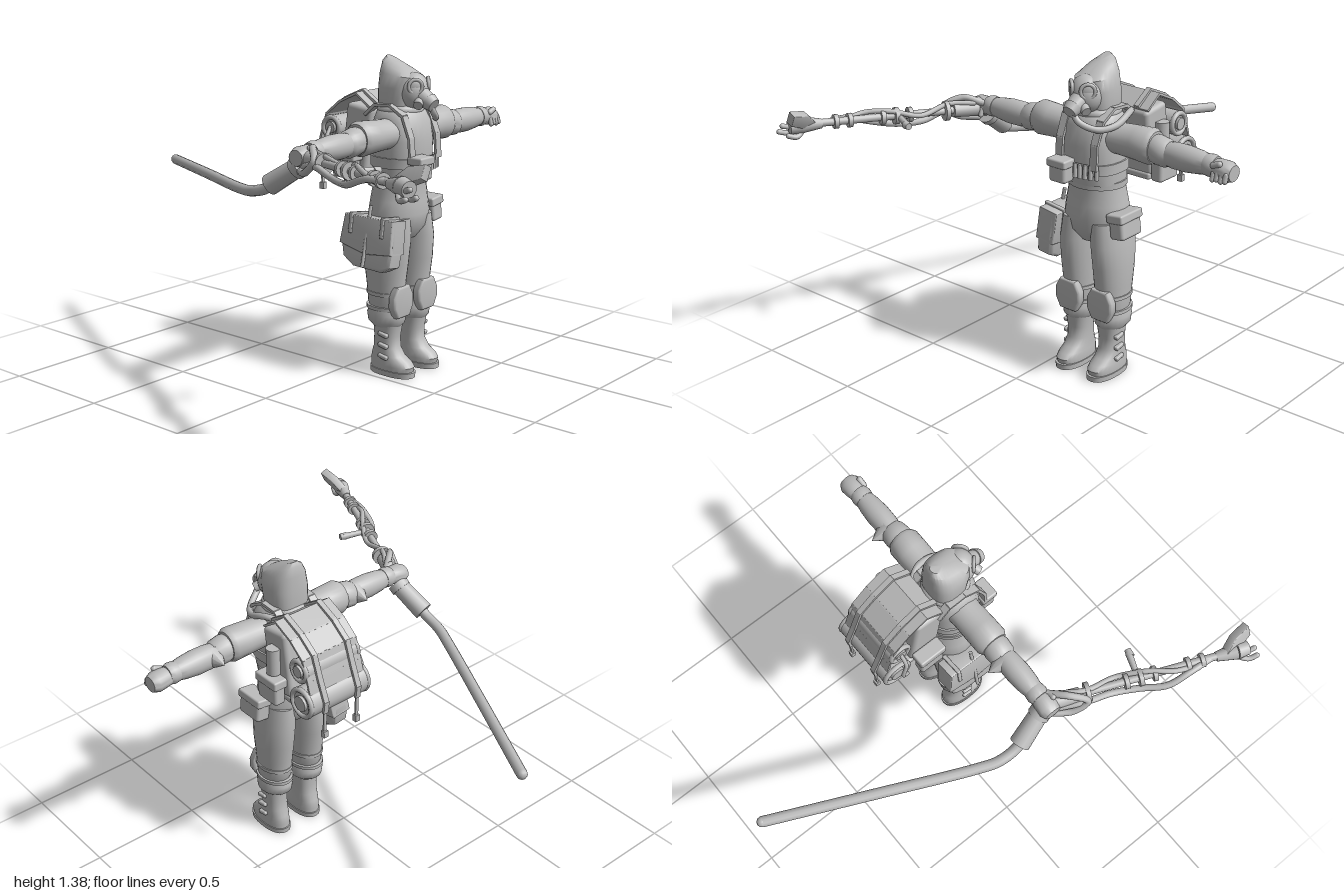
import * as THREE from 'three';
import { toCreasedNormals } from 'three/addons/utils/BufferGeometryUtils.js';
import { RoundedBoxGeometry } from 'three/addons/geometries/RoundedBoxGeometry.js';

const clay = new THREE.MeshStandardMaterial({ color: 0xbcbcbc });
clay.name = 'clay grey';
const V = (p) => new THREE.Vector3(...p);

function add(parent, name, geo, pos = [0, 0, 0], rot = [0, 0, 0], scale = [1, 1, 1]) {
  const m = new THREE.Mesh(geo, clay);
  m.name = name;
  m.position.set(...pos);
  m.rotation.set(...rot);
  m.scale.set(...scale);
  parent.add(m);
  return m;
}

// Closed skin over rings [y, x, z, rx, rz, tilt]; squareness below 1 boxes the outline
function loft(rings, square = 1, n = 24) {
  const pos = [], idx = [];
  const pw = (c) => Math.sign(c) * Math.abs(c) ** square;
  for (const [y, x, z, rx, rz, tilt = 0] of rings)
    for (let j = 0; j < n; j++) {
      const a = (j / n) * Math.PI * 2, c = pw(Math.cos(a)), s = pw(Math.sin(a));
      pos.push(x + rx * c, y + tilt * c, z + rz * s);
    }
  const last = rings.length - 1;
  for (let i = 0; i < last; i++)
    for (let j = 0; j < n; j++) {
      const a = i * n + j, b = i * n + (j + 1) % n;
      idx.push(a, a + n, b, b, a + n, b + n);
    }
  for (const i of [0, last]) {
    const c = pos.length / 3, [y, x, z] = rings[i];
    pos.push(x, y, z);
    for (let j = 0; j < n; j++) {
      const a = i * n + j, b = i * n + (j + 1) % n;
      if (i) idx.push(c, b, a); else idx.push(c, a, b);
    }
  }
  const g = new THREE.BufferGeometry();
  g.setAttribute('position', new THREE.Float32BufferAttribute(pos, 3));
  g.setIndex(idx);
  return toCreasedNormals(g, 0.75);
}

// Straight round bar between two points
function bar(parent, name, a, b, r0, r1 = r0, sides = 16) {
  const A = V(a), d = V(b).sub(A);
  const m = add(parent, name, new THREE.CylinderGeometry(r1, r0, d.length(), sides));
  m.position.copy(A).addScaledVector(d, 0.5);
  m.quaternion.setFromUnitVectors(new THREE.Vector3(0, 1, 0), d.normalize());
  return m;
}

// Bent hose with rounded ends
function hose(parent, name, pts, r, seg = 48) {
  add(parent, name, new THREE.TubeGeometry(new THREE.CatmullRomCurve3(pts.map(V)), seg, r, 10));
  for (const p of [pts[0], pts[pts.length - 1]])
    add(parent, name + 'End', new THREE.SphereGeometry(r, 10, 8), p);
}

// Flat webbing following x,y points at a given z
function strip(parent, name, pts, z, width, thick) {
  for (let i = 0; i < pts.length - 1; i++) {
    const [x0, y0] = pts[i], [x1, y1] = pts[i + 1];
    add(parent, name, new THREE.BoxGeometry(Math.hypot(x1 - x0, y1 - y0) + thick * 0.6, thick, width),
      [(x0 + x1) / 2, (y0 + y1) / 2, z], [0, 0, Math.atan2(y1 - y0, x1 - x0)]);
  }
}

function pouch(parent, name, size, pos, rot) {
  const g = new THREE.Group();
  g.name = name;
  add(g, 'pouchBody', new RoundedBoxGeometry(...size, 3, 0.014));
  add(g, 'pouchFlap', new RoundedBoxGeometry(size[0] + 0.012, size[1] * 0.35, size[2] + 0.012, 2, 0.008), [0, size[1] * 0.33, 0]);
  g.position.set(...pos);
  if (rot) g.rotation.set(...rot);
  parent.add(g);
}

function extrude(pts, depth, bevel) {
  const s = new THREE.Shape(pts.map((p) => new THREE.Vector2(...p)));
  const g = new THREE.ExtrudeGeometry(s, { depth, bevelEnabled: bevel > 0, bevelSize: bevel, bevelThickness: bevel, bevelSegments: 3 });
  return toCreasedNormals(g.translate(0, 0, -depth / 2), 0.7);
}

function buildLeg(body, s) {
  const z = s * 0.086, leg = new THREE.Group();
  leg.name = s > 0 ? 'gunSideLeg' : 'freeSideLeg';
  body.add(leg);
  add(leg, 'trouserLeg', loft([[0.28, 0.175, z, 0.07, 0.06], [0.32, 0.17, z, 0.086, 0.068], [0.36, 0.17, z, 0.09, 0.068],
    [0.41, 0.168, z, 0.094, 0.072], [0.5, 0.167, z, 0.108, 0.075], [0.6, 0.167, z * 0.95, 0.118, 0.075], [0.7, 0.167, z * 0.85, 0.11, 0.068]]));
  add(leg, 'trouserCuff', loft([[0.215, 0.175, z, 0.065, 0.055], [0.235, 0.172, z, 0.086, 0.071], [0.27, 0.17, z, 0.09, 0.074], [0.3, 0.172, z, 0.08, 0.066]]));
  const pad = [[-0.035, -0.06], [0.035, -0.06], [0.056, -0.02], [0.056, 0.02], [0.035, 0.058], [-0.035, 0.058], [-0.056, 0.02], [-0.056, -0.02]];
  add(leg, 'kneePad', extrude(pad, 0.02, 0.01), [0.25, 0.335, z], [0, Math.PI / 2, 0]);
  for (const y of [0.3, 0.365]) add(leg, 'kneeStrap', loft([[y - 0.008, 0.17, z, 0.094, 0.074], [y + 0.008, 0.17, z, 0.094, 0.074]]));
  add(leg, 'boot', loft([[0.02, 0.205, z, 0.105, 0.054], [0.045, 0.208, z, 0.108, 0.056], [0.065, 0.2, z, 0.1, 0.053],
    [0.085, 0.185, z, 0.08, 0.051], [0.12, 0.177, z, 0.06, 0.05], [0.17, 0.177, z, 0.058, 0.05], [0.225, 0.18, z, 0.064, 0.056]], 0.85));
  add(leg, 'bootSole', loft([[0, 0.208, z, 0.112, 0.057], [0.024, 0.208, z, 0.114, 0.058]], 0.85));
  for (const y of [0.085, 0.135, 0.185])
    add(leg, 'bootBuckle', new RoundedBoxGeometry(0.05, 0.018, 0.022, 2, 0.006), [0.195, y, z + s * 0.053], [0, 0, -0.2]);
}

function buildArm(body, s) {
  const arm = new THREE.Group();
  arm.name = s > 0 ? 'gunArm' : 'freeArm';
  arm.position.set(0.18, 1.05, 0);
  body.add(arm);
  const sleeve = (name, rings) => add(arm, name, loft(rings.map(([t, rx, ry, up = 0]) => [t, 0, -s * up, rx, ry])), [0, 0, 0], [s * Math.PI / 2, 0, 0]);
  sleeve('upperSleeve', [[0.06, 0.075, 0.07, 0.01], [0.13, 0.07, 0.064, 0.01], [0.22, 0.072, 0.07, 0.012], [0.285, 0.072, 0.075, 0.012], [0.305, 0.06, 0.066, 0.01]]);
  sleeve('elbow', [[0.29, 0.052, 0.055, 0.008], [0.32, 0.06, 0.06, 0.006], [0.36, 0.056, 0.058], [0.38, 0.045, 0.045]]);
  sleeve('forearm', [[0.35, 0.044, 0.046], [0.4, 0.05, 0.054], [0.46, 0.052, 0.054], [0.52, 0.047, 0.047], [0.565, 0.038, 0.038]]);
  sleeve('gloveCuff', [[0.55, 0.043, 0.043], [0.575, 0.046, 0.046], [0.595, 0.04, 0.04]]);
  sleeve('glove', [[0.57, 0.034, 0.034, -0.005], [0.61, 0.044, 0.04, -0.005], [0.65, 0.048, 0.042, -0.008], [0.675, 0.036, 0.032, -0.01]]);
  add(arm, 'elbowPad', new THREE.ConeGeometry(0.05, 0.075, 10), [-0.058, 0, s * 0.38], [0, 0, Math.PI / 2]);
  for (let i = 0; i < 4; i++)
    add(arm, 'finger', new THREE.CapsuleGeometry(0.011, 0.025, 4, 8), [0.04, -0.025 + (i % 2) * 0.004, s * (0.605 + i * 0.019)], [0, 0, 0.3]);
  add(arm, 'thumb', new THREE.CapsuleGeometry(0.013, 0.03, 4, 8), [0.035, 0.022, s * 0.615], [s * 1.2, 0, 0]);
}

function buildHead(body) {
  const head = new THREE.Group();
  head.name = 'head';
  body.add(head);
  add(head, 'hood', loft([[1.12, 0.165, 0, 0.078, 0.08], [1.18, 0.165, 0, 0.083, 0.086], [1.25, 0.172, 0, 0.09, 0.087],
    [1.305, 0.174, 0, 0.09, 0.076, -0.01], [1.332, 0.168, 0, 0.08, 0.055, -0.027], [1.352, 0.155, 0, 0.058, 0.026, -0.025]], 0.75, 28));
  add(head, 'maskFace', new THREE.SphereGeometry(1, 24, 16), [0.24, 1.235, 0], [0, 0, 0], [0.066, 0.08, 0.072]);
  for (const s of [1, -1]) {
    const rot = [0, Math.PI / 2 - s * 0.72, 0];
    add(head, 'lensRim', new THREE.TorusGeometry(0.029, 0.008, 8, 20), [0.282, 1.262, s * 0.043], rot);
    add(head, 'lens', new THREE.SphereGeometry(0.028, 16, 10), [0.278, 1.262, s * 0.041], rot, [1, 1, 0.35]);
    bar(head, 'sideFilter', [0.29, 1.2, s * 0.025], [0.305, 1.185, s * 0.055], 0.022, 0.02);
  }
  bar(head, 'snout', [0.265, 1.225, 0], [0.325, 1.195, 0], 0.046, 0.034);
  bar(head, 'snoutFilter', [0.32, 1.2, 0], [0.347, 1.184, 0], 0.038, 0.03);
  hose(head, 'airHose', [[0.325, 1.185, 0], [0.325, 1.145, -0.03], [0.285, 1.115, -0.095], [0.22, 1.125, -0.135], [0.13, 1.155, -0.13], [0.05, 1.14, -0.08]], 0.014);
}

function buildPack(body) {
  const pack = new THREE.Group(), zc = -0.045;
  pack.name = 'backpack';
  body.add(pack);
  add(pack, 'packBox', new RoundedBoxGeometry(0.14, 0.29, 0.28, 3, 0.02), [0.0, 1.02, zc], [0, 0, -0.13]);
  add(pack, 'packBase', new RoundedBoxGeometry(0.24, 0.03, 0.27, 2, 0.01), [-0.06, 0.87, zc]);
  const roof = [[0.075, 1.16], [0.0, 1.212], [-0.09, 1.17], [-0.165, 1.11], [-0.195, 1.02], [-0.212, 0.96]];
  strip(pack, 'packCover', roof, zc, 0.28, 0.01);
  for (const z of [zc - 0.085, zc + 0.085]) {
    strip(pack, 'packStrap', [[0.08, 1.17], [0.0, 1.222], [-0.095, 1.18], [-0.175, 1.12], [-0.21, 1.02], [-0.246, 0.93], [-0.24, 0.88]], z, 0.024, 0.012);
    strip(pack, 'hangingStrap', [[-0.238, 0.89], [-0.234, 0.78]], z, 0.014, 0.008);
    add(pack, 'strapEnd', new THREE.BoxGeometry(0.022, 0.03, 0.022), [-0.234, 0.77, z]);
  }
  const rolls = [['lowerBedroll', -0.172, 0.918, 0.068, 0.3], ['upperCanister', -0.14, 1.05, 0.052, 0.27]];
  for (const [name, x, y, r, len] of rolls) {
    bar(pack, name, [x, y, zc - len / 2], [x, y, zc + len / 2], r, r, 24);
    for (const s of [1, -1]) {
      add(pack, name + 'Rim', new THREE.TorusGeometry(r - 0.008, 0.011, 8, 24), [x, y, zc + s * len / 2]);
      bar(pack, name + 'Core', [x, y, zc], [x, y, zc + s * (len / 2 + 0.012)], r * 0.5);
    }
  }
  pouch(pack, 'packSidePouch', [0.12, 0.12, 0.055], [0, 0.915, -0.215]);
  pouch(pack, 'packSidePouch', [0.12, 0.12, 0.055], [-0.02, 0.91, 0.13]);
  bar(pack, 'sideFlask', [0, 0.98, -0.2], [0, 1.1, -0.2], 0.03);
  hose(pack, 'fuelHose', [[-0.14, 1.05, 0.1], [-0.14, 1.0, 0.13], [-0.16, 0.93, 0.135], [-0.13, 0.87, 0.12]], 0.009);
  for (const s of [1, -1])
    strip(body, 'shoulderStrap', [[0.06, 1.13], [0.11, 1.175], [0.19, 1.18], [0.26, 1.14], [0.297, 1.05], [0.305, 0.95]], s * 0.09, 0.035, 0.012);
}

function buildBody(root) {
  const body = new THREE.Group();
  body.name = 'soldier';
  body.position.z = -0.174;
  root.add(body);
  add(body, 'hips', loft([[0.6, 0.167, 0, 0.075, 0.08], [0.65, 0.167, 0, 0.112, 0.138], [0.71, 0.167, 0, 0.122, 0.148], [0.77, 0.168, 0, 0.115, 0.138], [0.84, 0.17, 0, 0.108, 0.122], [0.9, 0.175, 0, 0.108, 0.12]]));
  add(body, 'belt', loft([[0.845, 0.172, 0, 0.116, 0.13], [0.872, 0.172, 0, 0.117, 0.131]]));
  add(body, 'chest', loft([[0.865, 0.178, 0, 0.112, 0.124], [0.93, 0.182, 0, 0.12, 0.127], [1.03, 0.185, 0, 0.12, 0.126], [1.11, 0.18, 0, 0.112, 0.122], [1.15, 0.175, 0, 0.094, 0.105], [1.17, 0.17, 0, 0.07, 0.075]], 0.85));
  add(body, 'chestBand', loft([[0.915, 0.182, 0, 0.126, 0.133], [0.96, 0.184, 0, 0.127, 0.134]], 0.85));
  add(body, 'collar', new THREE.TorusGeometry(0.078, 0.024, 10, 28), [0.17, 1.155, 0], [Math.PI / 2, 0, 0]);
  for (const s of [1, -1]) { buildLeg(body, s); buildArm(body, s); }
  buildHead(body);
  buildPack(body);
  pouch(body, 'chestPouch', [0.065, 0.1, 0.085], [0.328, 0.925, 0.06]);
  for (let i = 0; i < 5; i++) {
    const z = -0.005 - i * 0.023, x = 0.318 - i * i * 0.0015;
    bar(body, 'cartridge', [x, 0.905, z], [x, 0.965, z], 0.01, 0.008, 10);
  }
  // Satchel on the gun side, with flap, straps and buckle rod
  const satchel = new THREE.Group();
  satchel.name = 'satchel';
  satchel.position.set(0.162, 0.595, 0.178);
  satchel.rotation.x = -0.14;
  body.add(satchel);
  const bag = [[-0.105, 0.09], [-0.125, 0], [-0.11, -0.06], [-0.06, -0.09], [0.08, -0.095], [0.118, -0.075], [0.125, 0], [0.12, 0.09]];
  add(satchel, 'satchelBag', extrude(bag, 0.05, 0.016));
  add(satchel, 'satchelFlap', extrude([[-0.12, 0.11], [-0.136, -0.01], [0, -0.04], [0.134, -0.025], [0.13, 0.11]], 0.085, 0.005));
  for (const x of [-0.085, 0.085]) add(satchel, 'satchelStrap', new RoundedBoxGeometry(0.018, 0.09, 0.11, 2, 0.004), [x, 0.08, 0]);
  bar(satchel, 'satchelRod', [0, -0.1, 0.052], [0, 0.165, 0.03], 0.008);
  pouch(body, 'hipPouch', [0.13, 0.11, 0.07], [0.19, 0.702, -0.162], [0.12, 0, 0]);
}

function buildGun(root) {
  const gun = new THREE.Group();
  gun.name = 'flameLance';
  root.add(gun);
  hose(gun, 'longTube', [[-0.98, 0.822, 0.062], [-0.57, 0.842, 0.258], [-0.17, 0.86, 0.447], [-0.08, 0.87, 0.482], [0.01, 0.895, 0.488], [0.1, 0.965, 0.465], [0.19, 1.03, 0.455]], 0.023, 90);
  bar(gun, 'gripSleeve', [0.025, 0.91, 0.486], [0.145, 0.99, 0.456], 0.044, 0.04);
  bar(gun, 'gripCollar', [0.14, 0.985, 0.457], [0.165, 1.005, 0.453], 0.046, 0.046);
  // Points along the barrel, with offsets up and sideways
  const at = (t, up = 0, side = 0) => [0.2 + 0.68 * t - side * 0.4, 1.035 + 0.04 * t + up, 0.455 + 0.3 * t + side * 0.9];
  bar(gun, 'barrel', at(0), at(1), 0.016);
  bar(gun, 'receiver', at(0.02), at(0.17), 0.034, 0.03);
  for (const [t, r] of [[0.2, 0.042], [0.42, 0.032], [0.5, 0.036], [0.58, 0.032], [0.77, 0.03], [0.85, 0.03]])
    bar(gun, 'clampRing', at(t), at(t + 0.025), r);
  hose(gun, 'lowerHose', [at(0, -0.03, 0.02), at(0.2, -0.01, 0.035), at(0.35, -0.04, 0.02), at(0.5, -0.045, 0.03), at(0.65, -0.03, 0.055), at(0.78, 0, 0.035), at(0.92, 0, 0)], 0.014);
  hose(gun, 'upperHose', [at(0.05, 0.03, -0.02), at(0.2, 0.03, 0), at(0.38, 0, -0.03), at(0.55, 0.025, -0.01), at(0.7, 0.02, 0.02), at(0.85, -0.015, 0.01)], 0.011);
  hose(gun, 'handLoop', [at(0, 0.03, -0.03), at(0.1, 0.05, 0.01), at(0.2, 0.01, 0.04), at(0.12, -0.04, 0.05), at(0, -0.05, 0.03)], 0.015);
  bar(gun, 'sideHandle', at(0.5), [0.585, 1.045, 0.5], 0.011, 0.015);
  bar(gun, 'handleKnob', [0.583, 1.045, 0.515], [0.592, 1.045, 0.485], 0.017, 0.014);
  // Flared nozzle with a raised fin and prongs
  bar(gun, 'nozzle', [0.84, 1.07, 0.738], [0.92, 1.077, 0.773], 0.02, 0.036);
  bar(gun, 'nozzleMouth', [0.92, 1.077, 0.773], [0.965, 1.075, 0.79], 0.036, 0.03);
  const fin = extrude([[0, 0], [0.06, 0.055], [0.128, 0.07], [0.128, 0.025], [0.05, -0.01]], 0.03, 0.004);
  add(gun, 'nozzleFin', fin, [0.865, 1.082, 0.752], [-0.45, -0.05, 0]);
  for (const [dy, z] of [[-0.03, 0.835], [0.0, 0.81], [-0.035, 0.775]])
    hose(gun, 'nozzleProng', [[0.9, 1.065, 0.77], [0.95, 1.07 + dy, z - 0.012], [0.983, 1.08 + dy, z]], 0.011, 12);
}

export function createModel() {
  const root = new THREE.Group();
  root.name = 'gasMaskTrooper';
  buildBody(root);
  buildGun(root);
  return root;
}
